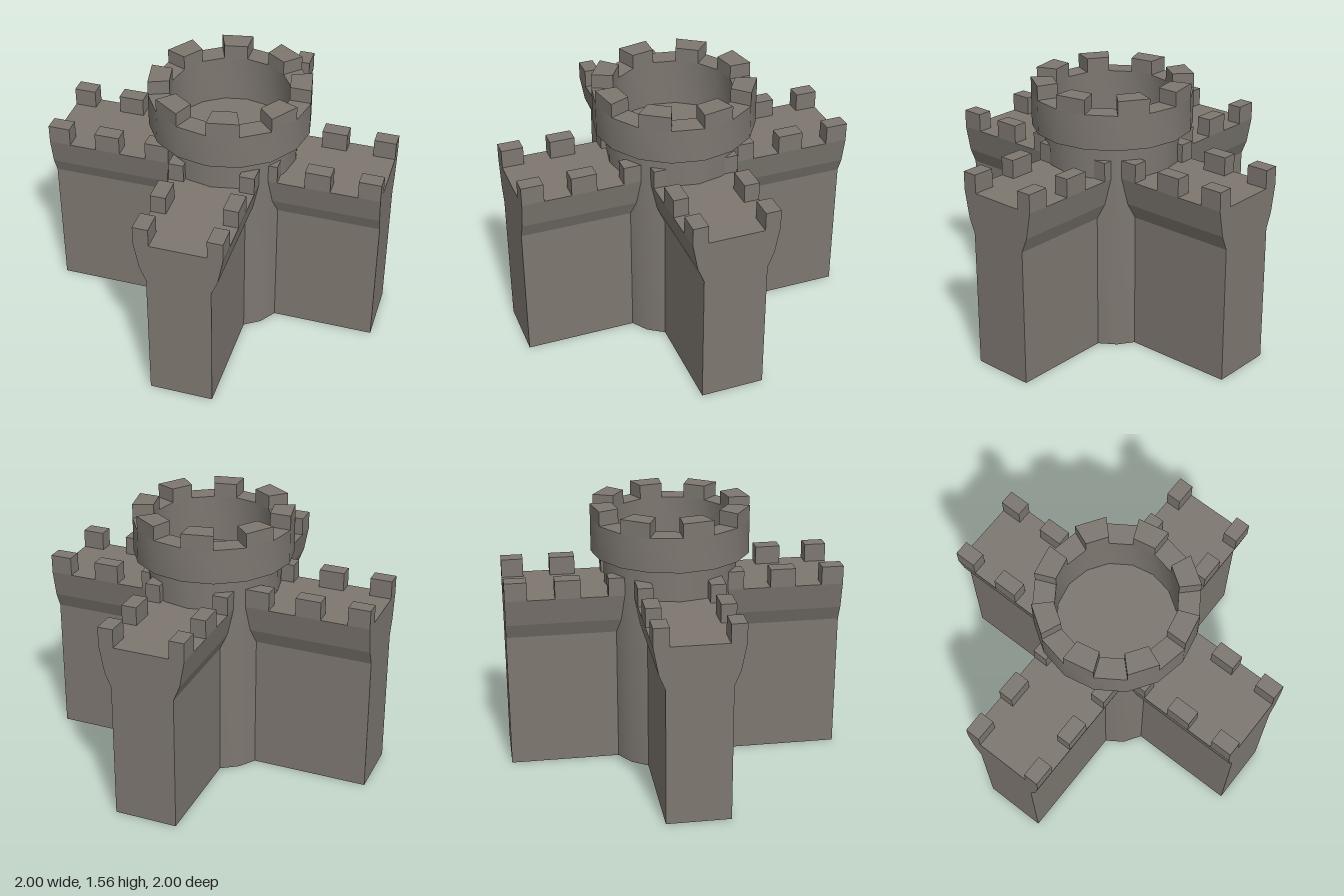
import * as THREE from 'three';
import { toCreasedNormals } from 'three/addons/utils/BufferGeometryUtils.js';

const stone = new THREE.MeshStandardMaterial({ color: 0x7d7770, side: THREE.DoubleSide });
stone.name = 'stone';

const WALL_TOP = 1.07;
const TOWER_X = 0.045;
const SIDES = 16;

function part(name, geometry) {
  const mesh = new THREE.Mesh(geometry, stone);
  mesh.name = name;
  return mesh;
}

// Long wall block along z with flared upper sides and two rows of merlons
function createWall(name) {
  const wall = new THREE.Group();
  wall.name = name;
  const half = [[0.1875, 0], [0.1875, 0.82], [0.225, 0.91], [0.255, WALL_TOP]];
  const outline = [...half, ...half.map(([x, y]) => [-x, y]).reverse()];
  const shape = new THREE.Shape(outline.map(([x, y]) => new THREE.Vector2(x, y)));
  const body = new THREE.ExtrudeGeometry(shape, { depth: 2, bevelEnabled: false });
  body.translate(0, 0, -1);
  wall.add(part('wallBody', body));

  const height = 0.11;
  for (const side of [-1, 1]) {
    for (const end of [-1, 1]) {
      for (const [from, to] of [[0.25, 0.4], [0.56, 0.71], [0.87, 1]]) {
        const merlon = part('wallMerlon', new THREE.BoxGeometry(0.09, height, to - from));
        merlon.position.set(side * 0.21, WALL_TOP + height / 2, end * (from + to) / 2);
        wall.add(merlon);
      }
    }
  }
  return wall;
}

// Round tower with an overhanging hollow crown and alternating merlons
function createTower() {
  const tower = new THREE.Group();
  tower.name = 'tower';
  const outer = 0.475, inner = 0.35, rim = 1.475;
  const profile = [
    [0.4, 0], [0.4, 1.27], [outer, 1.27], [outer, rim],
    [inner, rim], [inner, 1.19], [0, 1.19],
  ].map(([r, y]) => new THREE.Vector2(r, y));
  tower.add(part('towerBody', toCreasedNormals(new THREE.LatheGeometry(profile, SIDES), 0.6)));

  // One merlon on every second side of the rim
  const step = (Math.PI * 2) / SIDES;
  const corner = (r, a) => new THREE.Vector2(r * Math.sin(a), -r * Math.cos(a));
  const shape = new THREE.Shape([
    corner(inner, 0), corner(outer, 0), corner(outer, step), corner(inner, step),
  ]);
  const geometry = new THREE.ExtrudeGeometry(shape, { depth: 0.085, bevelEnabled: false });
  geometry.rotateX(-Math.PI / 2);
  for (let i = 0; i < SIDES; i += 2) {
    const merlon = part('towerMerlon', geometry);
    merlon.position.y = rim;
    merlon.rotation.y = i * step;
    tower.add(merlon);
  }
  return tower;
}

export function createModel() {
  const model = new THREE.Group();
  model.name = 'castle';

  const lengthWall = createWall('frontBackWall');
  lengthWall.position.x = 0.05;
  const crossWall = createWall('leftRightWall');
  crossWall.rotation.y = Math.PI / 2;
  const tower = createTower();
  tower.position.x = TOWER_X;

  model.add(lengthWall, crossWall, tower);
  return model;
}
